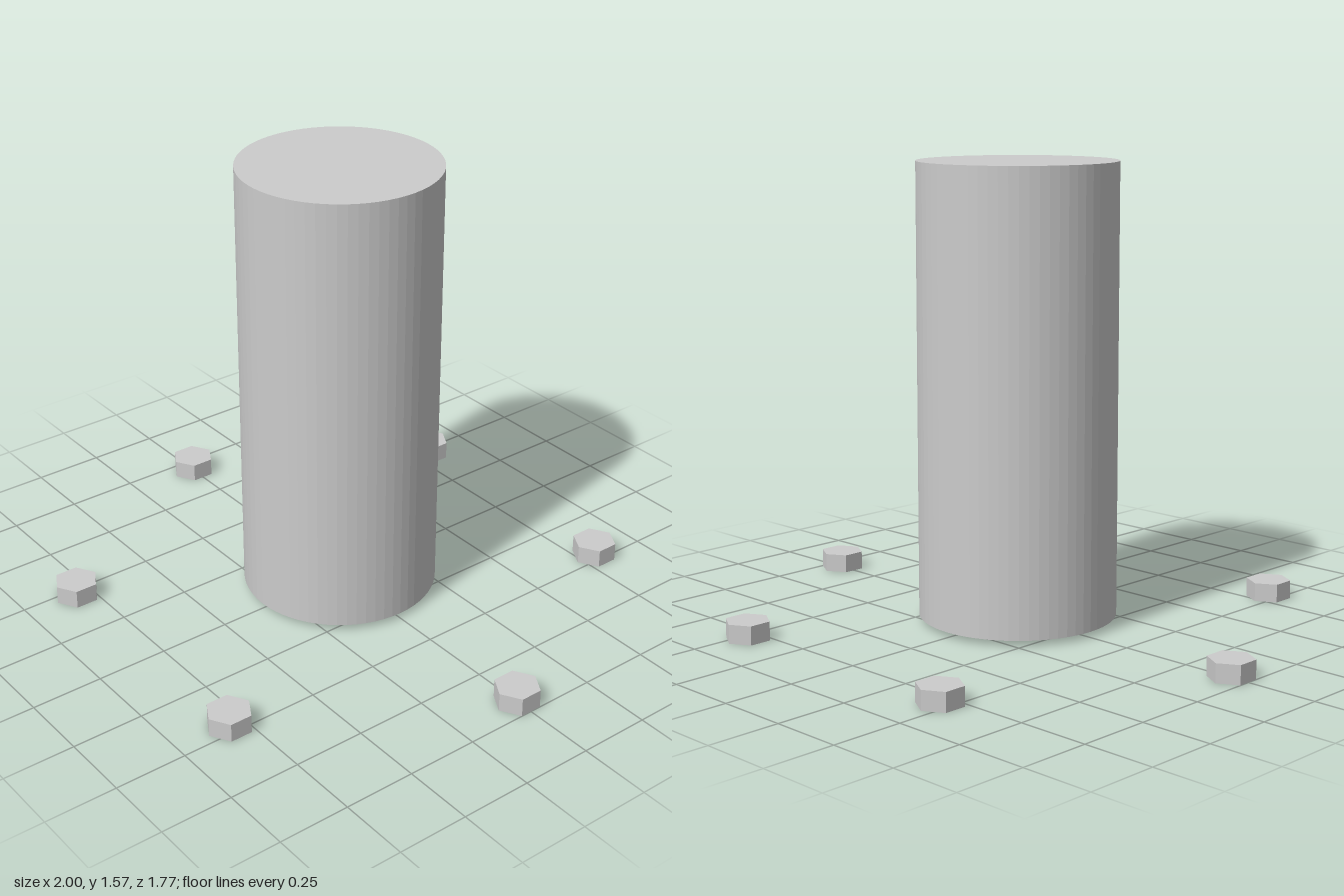
import * as THREE from 'three';

export function createModel() {
  const model = new THREE.Group();
  const material = new THREE.MeshStandardMaterial({ color: 0xcccccc, flatShading: true });

  // Upright round column, raised slightly above the ground
  const bottom = 0.02, top = 1.57;
  const column = new THREE.Mesh(new THREE.CylinderGeometry(0.34, 0.34, top - bottom, 64), material);
  column.name = 'column';
  column.position.y = (bottom + top) / 2;
  model.add(column);

  // Six hexagonal bolt heads in a ring, all turned the same way
  const bolts = new THREE.Group();
  bolts.name = 'boltRing';
  const ringRadius = 0.932, boltHeight = 0.065;
  const boltGeometry = new THREE.CylinderGeometry(0.078, 0.078, boltHeight, 6);
  for (let i = 0; i < 6; i++) {
    const angle = (i * Math.PI) / 3;
    const bolt = new THREE.Mesh(boltGeometry, material);
    bolt.name = `boltHead${i + 1}`;
    bolt.position.set(Math.cos(angle) * ringRadius, boltHeight / 2, Math.sin(angle) * ringRadius);
    bolts.add(bolt);
  }
  model.add(bolts);

  return model;
}
